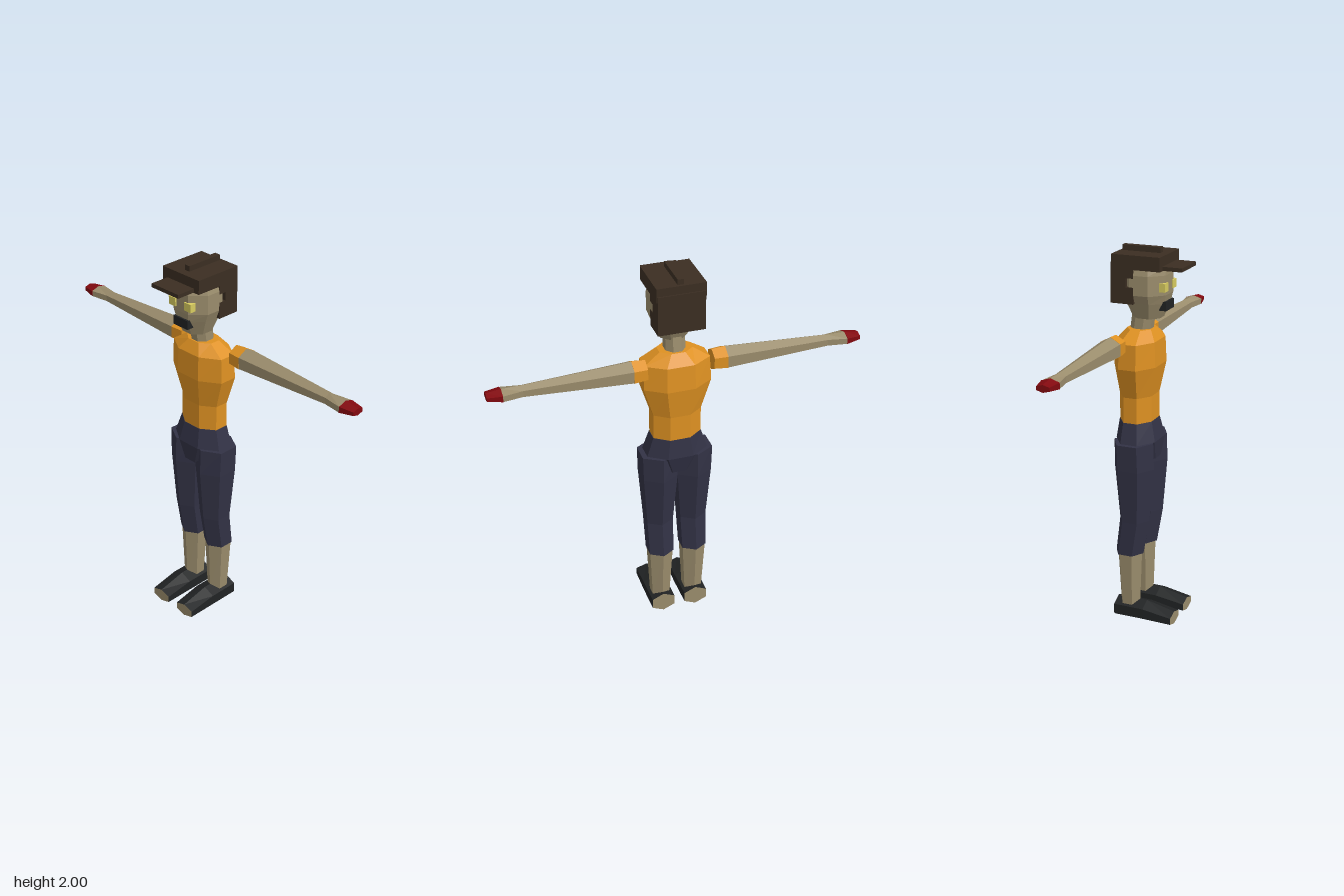
import * as THREE from 'three';

const mat = (name, color) => Object.assign(new THREE.MeshStandardMaterial({ color, flatShading: true }), { name });

// Unit cross-sections, counter-clockwise in (a, b)
const HEX_A = [[1, 0], [0.5, 1], [-0.5, 1], [-1, 0], [-0.5, -1], [0.5, -1]];
const HEX_B = [[1, -0.5], [1, 0.5], [0, 1], [-1, 0.5], [-1, -0.5], [0, -1]];
const OCT = [[1, -0.42], [1, 0.42], [0.42, 1], [-0.42, 1], [-1, 0.42], [-1, -0.42], [-0.42, -1], [0.42, -1]];

// Places (a, b, t) on the world axes, with t running along the named axis
const AXES = {
  x: (a, b, t) => [t, a, b],
  y: (a, b, t) => [b, t, a],
  z: (a, b, t) => [a, b, t],
};

// Faceted loft through rings of [t, aMin, aMax, bMin, bMax] in rising t.
// Group 0 is the sides, group 1 the end caps.
function loft(axis, section, rings) {
  const n = section.length;
  const pts = rings.map(([t, a0, a1, b0, b1]) => section.map(([a, b]) =>
    AXES[axis]((a0 + a1) / 2 + a * (a1 - a0) / 2, (b0 + b1) / 2 + b * (b1 - b0) / 2, t)));
  const pos = [];
  const tri = (...corners) => corners.forEach((c) => pos.push(...c));
  for (let r = 0; r + 1 < pts.length; r++) {
    for (let i = 0; i < n; i++) {
      const j = (i + 1) % n, lo = pts[r], hi = pts[r + 1];
      tri(lo[i], lo[j], hi[j]);
      tri(lo[i], hi[j], hi[i]);
    }
  }
  const sides = pos.length / 3;
  const first = pts[0], last = pts[pts.length - 1];
  for (let i = 1; i + 1 < n; i++) {
    tri(first[0], first[i + 1], first[i]);
    tri(last[0], last[i], last[i + 1]);
  }
  const geo = new THREE.BufferGeometry();
  geo.setAttribute('position', new THREE.Float32BufferAttribute(pos, 3));
  geo.addGroup(0, sides, 0);
  geo.addGroup(sides, pos.length / 3 - sides, 1);
  geo.computeVertexNormals();
  return geo;
}

// Box from its extents
function box(x0, x1, y0, y1, z0, z1) {
  return new THREE.BoxGeometry(x1 - x0, y1 - y0, z1 - z0)
    .translate((x0 + x1) / 2, (y0 + y1) / 2, (z0 + z1) / 2);
}

export function createModel() {
  const skin = mat('skin', 0x9a8c6c);
  const shirt = mat('shirt orange', 0xde9122);
  const cloth = mat('trouser navy', 0x323245);
  const leather = mat('shoe black', 0x212324);
  const red = mat('hand red', 0x82090f);
  const brown = mat('cap brown', 0x3b2e22);
  const yellow = mat('eye yellow', 0xd8cc60);

  const model = new THREE.Group();
  model.name = 'figure';
  const add = (name, geo, material, parent = model) => {
    const mesh = new THREE.Mesh(geo, material);
    mesh.name = name;
    parent.add(mesh);
    return mesh;
  };

  // Body: rings are [y, back, front, right, left]
  add('torso', loft('y', OCT, [
    [1.105, -0.165, 0.01, -0.125, 0.125],
    [1.24, -0.165, 0.01, -0.125, 0.125],
    [1.4, -0.185, 0.04, -0.175, 0.175],
    [1.53, -0.175, 0.035, -0.17, 0.17],
    [1.585, -0.13, 0.0, -0.085, 0.085],
  ]), shirt);
  add('pelvis', loft('y', OCT, [
    [0.9, -0.155, 0.025, -0.085, 0.085],
    [1.0, -0.18, 0.035, -0.16, 0.16],
    [1.105, -0.167, 0.012, -0.127, 0.127],
  ]), cloth);
  add('neck', loft('y', OCT, [
    [1.57, -0.12, -0.01, -0.052, 0.052],
    [1.68, -0.105, 0.005, -0.05, 0.05],
  ]), skin);

  // Head and face
  add('head', loft('y', OCT, [
    [1.645, -0.1, 0.045, -0.07, 0.07],
    [1.725, -0.135, 0.075, -0.1, 0.1],
    [1.77, -0.15, 0.085, -0.118, 0.118],
    [1.87, -0.15, 0.085, -0.118, 0.118],
    [1.91, -0.15, 0.08, -0.106, 0.106],
  ]), skin);
  add('mouth', box(-0.05, 0.05, 1.69, 1.737, 0.04, 0.088), leather);
  for (const [side, x] of [['left', 0.054], ['right', -0.054]]) {
    add(`${side}Eye`, box(x - 0.023, x + 0.023, 1.79, 1.833, 0.06, 0.092), yellow);
  }

  // Hair block with a notch left open over each ear
  add('upperHair', box(-0.12, 0.12, 1.855, 1.93, -0.181, -0.06), brown);
  add('backHair', box(-0.12, 0.12, 1.81, 1.855, -0.181, -0.1), brown);
  add('lowerHair', box(-0.12, 0.12, 1.725, 1.81, -0.181, -0.06), brown);

  // Cap
  add('capCrown', box(-0.125, 0.125, 1.9, 1.972, -0.175, 0.085), brown);
  add('capBrim', box(-0.092, 0.092, 1.902, 1.922, 0.08, 0.188), brown);
  add('capRidge', box(-0.016, 0.016, 1.965, 2.0, -0.162, 0.042), brown);

  for (const [side, s] of [['left', 1], ['right', -1]]) {
    // Arm: rings are [x, bottom, top, back, front] about a pivot at mid depth
    const arm = new THREE.Group();
    arm.name = `${side}Arm`;
    arm.position.z = -0.13;
    arm.rotation.y = s > 0 ? 0 : Math.PI;
    model.add(arm);
    add('sleeve', loft('x', HEX_A, [
      [0.17, 1.465, 1.578, -0.05, 0.05],
      [0.24, 1.458, 1.583, -0.056, 0.056],
    ]), shirt, arm);
    add('bareArm', loft('x', HEX_A, [
      [0.24, 1.46, 1.582, -0.055, 0.055],
      [0.78, 1.487, 1.552, -0.029, 0.029],
      [0.88, 1.49, 1.55, -0.046, 0.046],
    ]), skin, arm);
    add('hand', loft('x', HEX_A, [
      [0.88, 1.489, 1.551, -0.047, 0.047],
      [0.955, 1.503, 1.54, -0.033, 0.033],
    ]), red, arm);

    // Leg: rings are [y, back, front, inner, outer] about the leg's own centre
    const leg = new THREE.Group();
    leg.name = `${side}Leg`;
    leg.position.x = 0.091 * s;
    model.add(leg);
    add('trouserLeg', loft('y', HEX_A, [
      [0.38, -0.175, -0.02, -0.066, 0.066],
      [0.57, -0.152, 0.014, -0.07, 0.07],
      [0.86, -0.18, 0.04, -0.091, 0.091],
      [1.0, -0.181, 0.036, -0.095, 0.095],
    ]), cloth, leg);
    add('shin', loft('y', HEX_A, [
      [0.09, -0.148, -0.04, -0.048, 0.048],
      [0.385, -0.165, -0.028, -0.063, 0.063],
    ]), skin, leg);
    // Open-ended shoe with the foot showing at toe and heel
    add('shoe', loft('z', HEX_B, [
      [-0.165, -0.062, 0.062, 0, 0.112],
      [0.0, -0.063, 0.063, 0, 0.11],
      [0.157, -0.058, 0.058, 0.003, 0.073],
    ]), [leather, skin], leg);
  }
  return model;
}
